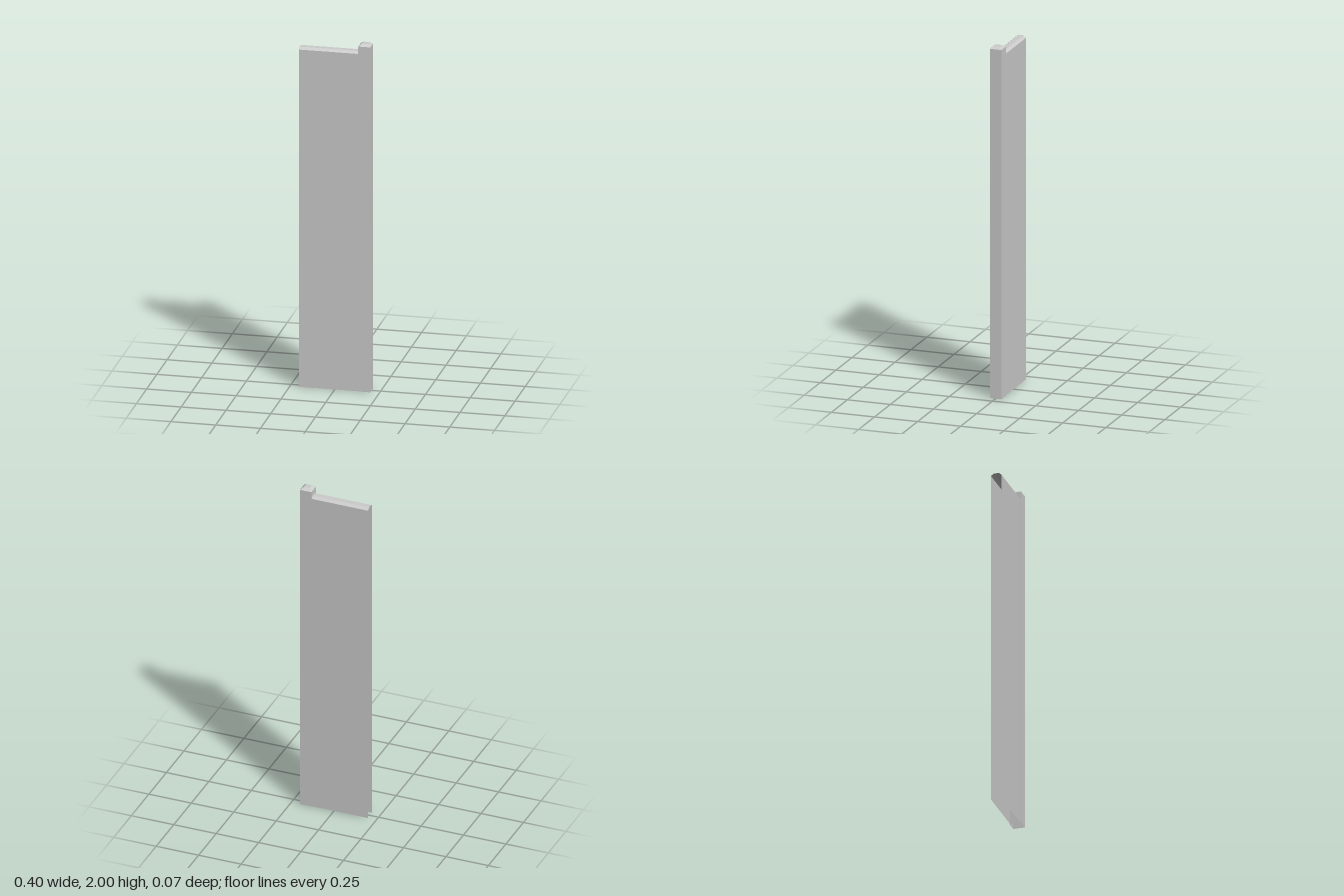
import * as THREE from 'three';

const material = new THREE.MeshStandardMaterial({ color: 0xcccccc, flatShading: true, side: THREE.DoubleSide });

// Joins successive rows of points with quads; closed rows wrap around
function loft(rows, closed) {
  const pos = [];
  for (let i = 0; i < rows.length - 1; i++) {
    const n = rows[i].length;
    for (let j = 0; j < (closed ? n : n - 1); j++) {
      const k = (j + 1) % n;
      const a = rows[i][j], b = rows[i][k], c = rows[i + 1][k], d = rows[i + 1][j];
      pos.push(...a, ...b, ...c, ...a, ...c, ...d);
    }
  }
  const geometry = new THREE.BufferGeometry();
  geometry.setAttribute('position', new THREE.Float32BufferAttribute(pos, 3));
  geometry.computeVertexNormals();
  return geometry;
}

function part(name, geometry) {
  const mesh = new THREE.Mesh(geometry, material);
  mesh.name = name;
  return mesh;
}

export function createModel() {
  const group = new THREE.Group();
  group.name = 'fencePanel';

  // Hollow panel: bevelled cap profile swept along x, open below and at the end
  const profile = [[0, -0.03], [1.943, -0.03], [1.955, -0.015], [1.955, 0.015], [1.943, 0.03], [0, 0.03]];
  const section = (x) => profile.map(([y, z]) => [x, y, z]);
  group.add(part('panel', loft([section(-0.2), section(0.132)], false)));

  // Square post: hollow shaft with a chamfered top, open below
  const cx = 0.166;
  const ring = (r, y) => [[cx + r, y, r], [cx + r, y, -r], [cx - r, y, -r], [cx - r, y, r]];
  const top = ring(0.017, 2);
  group.add(part('post', loft([ring(0.034, 0), ring(0.034, 1.987), top], true)));
  group.add(part('postTop', loft([[top[0], top[1]], [top[3], top[2]]], false)));

  return group;
}
